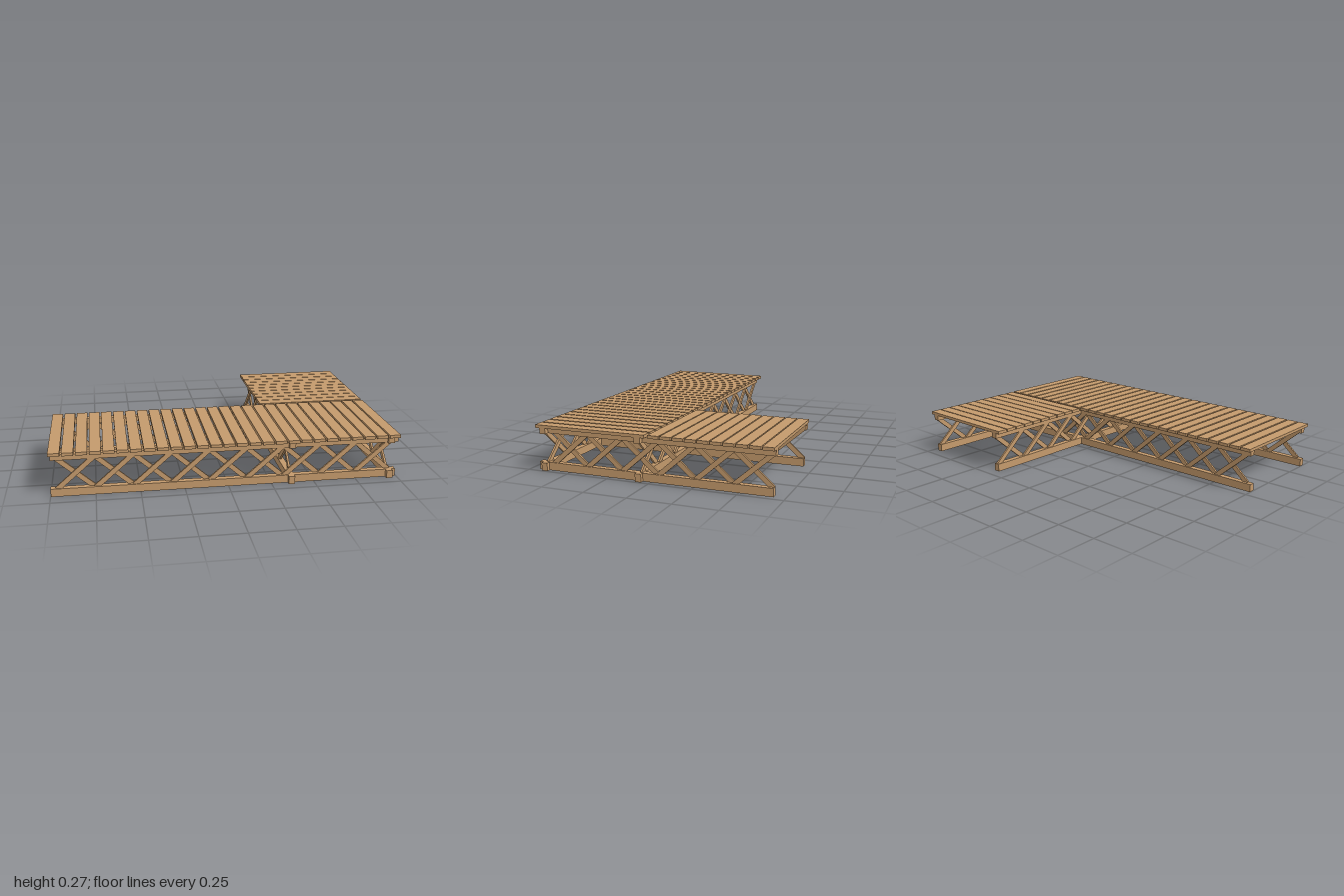
import * as THREE from 'three';

const wood = new THREE.MeshStandardMaterial({ color: 0xc49a6c });
wood.name = 'wood';

function box(parent, name, w, h, d, x, y, z) {
  const mesh = new THREE.Mesh(new THREE.BoxGeometry(w, h, d), wood);
  mesh.name = name;
  mesh.position.set(x, y, z);
  parent.add(mesh);
  return mesh;
}

// Truss along local x: two chords joined by a row of crossed braces
function truss(name, bottom, top, firstCross, pitch, count) {
  const group = new THREE.Group();
  group.name = name;
  const chord = (label, [a, b], y0, y1) =>
    box(group, label, b - a, y1 - y0, 0.036, (a + b) / 2, (y0 + y1) / 2, 0);
  chord('bottomChord', bottom, 0, 0.046);
  chord('topChord', top, 0.215, 0.248);
  const run = 0.2, rise = 0.175;
  for (let i = 0; i < count; i++) {
    for (const side of [-1, 1]) {
      const brace = box(group, 'crossBrace', Math.hypot(run, rise) + 0.01, 0.028, 0.012,
        firstCross + i * pitch, 0.131, side * 0.006);
      brace.rotation.z = side * Math.atan2(rise, run);
    }
  }
  return group;
}

export function createModel() {
  const model = new THREE.Group();
  model.name = 'boardwalk';

  // Long trusses under the main walkway
  for (const z of [0.065, 0.651]) {
    const t = truss('longTruss', [-0.998, 0.992], [-0.99, 0.998], -0.858, 0.2135, 9);
    t.position.z = z;
    model.add(t);
  }

  // Trusses under the side branch, running through to the front
  for (const x of [0.365, 0.951]) {
    const t = truss('branchTruss', [-0.694, 0.687], [-0.687, 0.697], -0.5, 0.215, 6);
    t.rotation.y = Math.PI / 2; // local x becomes -z
    t.position.x = x;
    model.add(t);
  }

  // Main deck planks, laid across z
  const mainCount = 27, mainWidth = 0.064;
  const mainPitch = (2 - mainWidth) / (mainCount - 1);
  for (let i = 0; i < mainCount; i++) {
    box(model, 'mainPlank', mainWidth, 0.018, 0.675,
      -1 + mainWidth / 2 + i * mainPitch, 0.257, 0.3575);
  }

  // Branch deck planks, laid across x
  const branchCount = 10, branchWidth = 0.064;
  const branchPitch = (0.7 - branchWidth) / (branchCount - 1);
  for (let i = 0; i < branchCount; i++) {
    box(model, 'branchPlank', 0.678, 0.018, branchWidth,
      0.658, 0.257, -0.697 + branchWidth / 2 + i * branchPitch);
  }
  return model;
}
